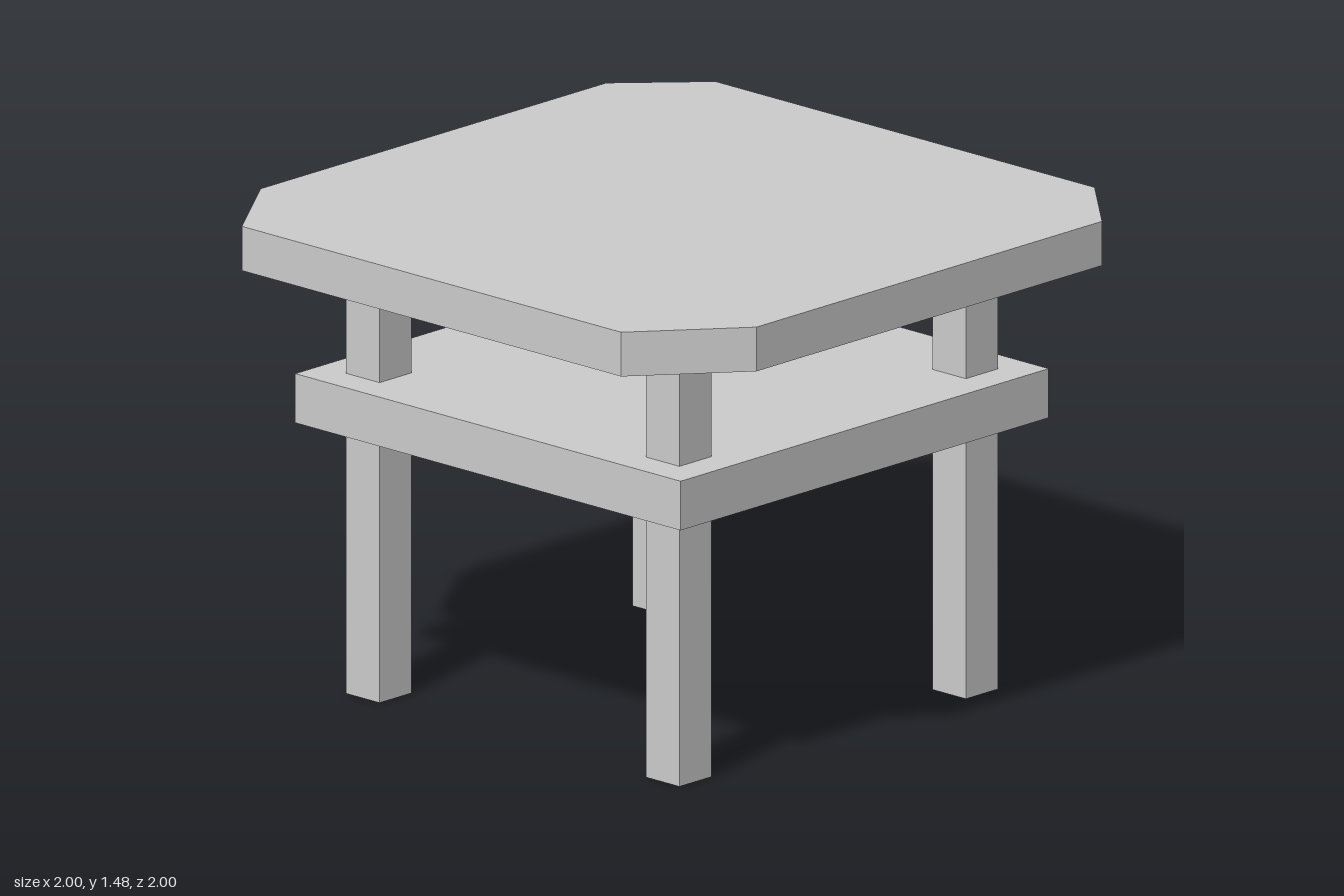
import * as THREE from 'three';

export function createModel() {
  const group = new THREE.Group();
  const material = new THREE.MeshStandardMaterial({ color: 0xcccccc, flatShading: true });

  const add = (name, geometry, x, y, z) => {
    const mesh = new THREE.Mesh(geometry, material);
    mesh.name = name;
    mesh.position.set(x, y, z);
    group.add(mesh);
  };

  // Table top: a square slab with slightly uneven cut corners, as [x, z]
  const outline = [
    [-0.78, 1], [0.75, 1], [1, 0.69], [1, -0.77],
    [0.75, -1], [-0.78, -1], [-1, -0.77], [-1, 0.69],
  ];
  const shape = new THREE.Shape(outline.map(([x, z]) => new THREE.Vector2(x, -z)));
  const top = new THREE.ExtrudeGeometry(shape, { depth: 0.135, bevelEnabled: false });
  top.rotateX(-Math.PI / 2);
  add('tableTop', top, 0, 1.34, 0);

  // Shelf under the top, wider than the legs
  add('shelf', new THREE.BoxGeometry(1.555, 0.15, 1.555), 0, 0.902, 0);

  // Four square legs running from the floor to the top
  const leg = new THREE.BoxGeometry(0.135, 1.34, 0.135);
  for (const [side, x] of [['Left', 0.605], ['Right', -0.605]]) {
    for (const [end, z] of [['front', 0.605], ['back', -0.605]]) {
      add(`${end}${side}Leg`, leg, x, 0.67, z);
    }
  }

  return group;
}
